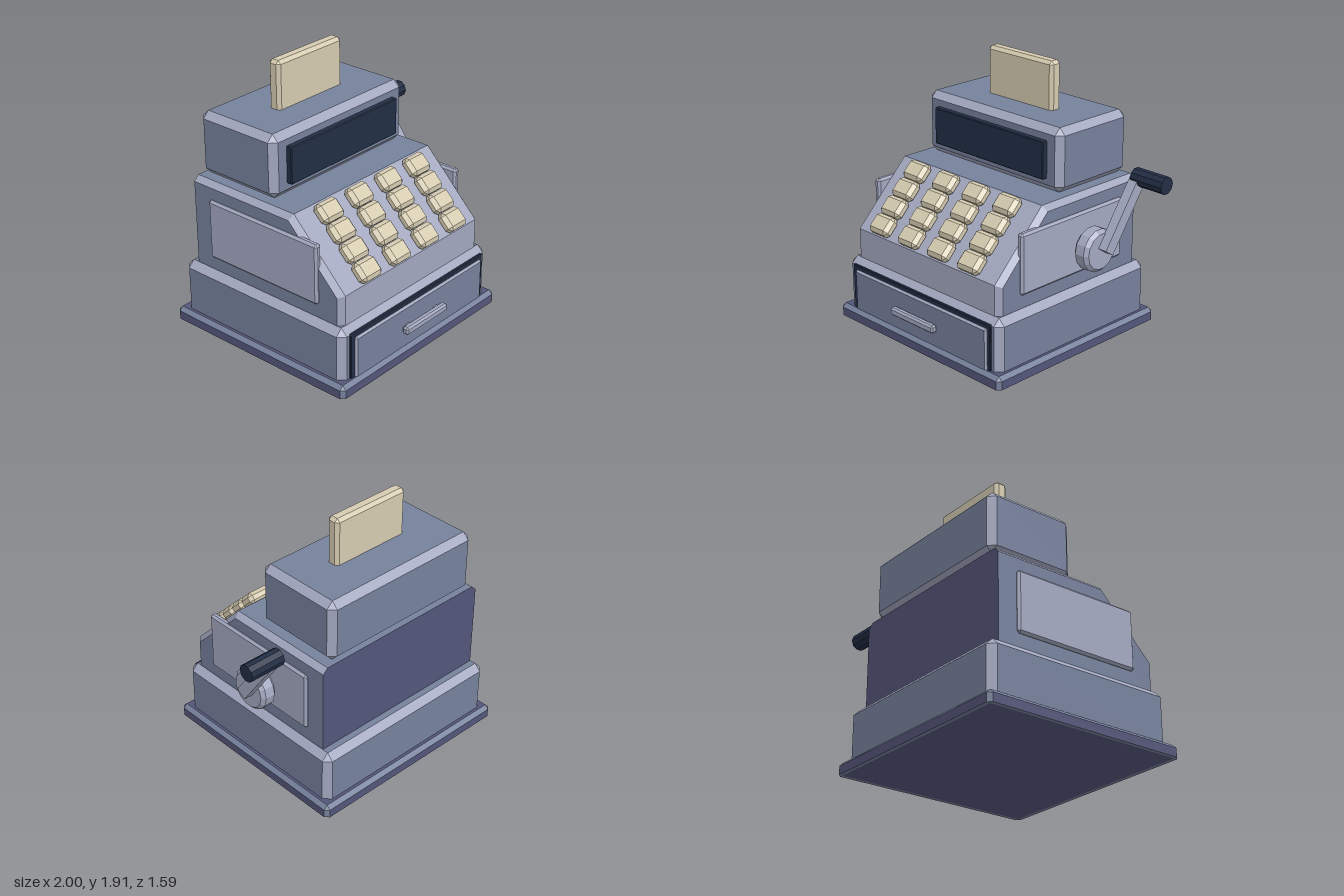
import * as THREE from 'three';

const material = (name, color) => {
  const m = new THREE.MeshStandardMaterial({ color });
  m.name = name;
  return m;
};

// Builds a flat-faced convex solid around the origin; each face is { ring, group }.
function solid(faces, centre = new THREE.Vector3()) {
  const positions = [];
  const geometry = new THREE.BufferGeometry();
  for (const { ring, group } of faces) {
    const pts = ring.map((p) => new THREE.Vector3(...p));
    const normal = pts[1].clone().sub(pts[0]).cross(pts[2].clone().sub(pts[0]));
    if (normal.dot(pts[0].clone().sub(centre)) < 0) pts.reverse();
    const start = positions.length / 3;
    for (let i = 1; i < pts.length - 1; i++) {
      for (const p of [pts[0], pts[i], pts[i + 1]]) positions.push(p.x, p.y, p.z);
    }
    geometry.addGroup(start, positions.length / 3 - start, group);
  }
  geometry.setAttribute('position', new THREE.Float32BufferAttribute(positions, 3));
  geometry.computeVertexNormals();
  return geometry;
}

// Chamfered box: group 0 is the six flat sides, group 1 the chamfers.
function chamferBox(w, h, d, b, bottomChamfer = true) {
  const half = [w / 2, h / 2, d / 2];
  // Corner point lying on the side facing the given axis
  const point = (axis, s) => half.map((v, i) => {
    const inset = i === axis ? 0 : i === 1 && s[1] < 0 && !bottomChamfer ? 0 : b;
    return s[i] * (v - inset);
  });
  const signs = (axis, a, u, v) => {
    const s = [0, 0, 0];
    s[axis] = a;
    s[(axis + 1) % 3] = u;
    s[(axis + 2) % 3] = v;
    return s;
  };
  const faces = [];
  for (let axis = 0; axis < 3; axis++) {
    for (const a of [-1, 1]) {
      faces.push({
        group: 0,
        ring: [[-1, -1], [1, -1], [1, 1], [-1, 1]].map(([u, v]) => point(axis, signs(axis, a, u, v))),
      });
      // Chamfer strip running along the third axis
      const next = (axis + 1) % 3;
      for (const u of [-1, 1]) {
        const s0 = signs(axis, a, u, -1), s1 = signs(axis, a, u, 1);
        faces.push({ group: 1, ring: [point(axis, s0), point(axis, s1), point(next, s1), point(next, s0)] });
      }
    }
  }
  for (const x of [-1, 1]) for (const y of [-1, 1]) for (const z of [-1, 1]) {
    faces.push({ group: 1, ring: [0, 1, 2].map((axis) => point(axis, [x, y, z])) });
  }
  return solid(faces);
}

export function createModel() {
  const model = new THREE.Group();
  model.name = 'cashRegister';

  const blue = material('slateBlue', 0x76819c);
  const light = material('paleLavender', 0xa3a8c0);
  const purple = material('duskPurple', 0x54567a);
  const navy = material('darkNavy', 0x222e45);
  const cream = material('cream', 0xd6ccb1);

  const add = (name, geometry, mat, parent = model) => {
    const mesh = new THREE.Mesh(geometry, mat);
    mesh.name = name;
    parent.add(mesh);
    return mesh;
  };
  // Chamfered box given by its extents on each axis
  const block = (name, [x0, x1], [y0, y1], [z0, z1], bevel, mats, bottomChamfer) => {
    const mesh = add(name, chamferBox(x1 - x0, y1 - y0, z1 - z0, bevel, bottomChamfer), mats);
    mesh.position.set((x0 + x1) / 2, (y0 + y1) / 2, (z0 + z1) / 2);
    return mesh;
  };

  const midX = -0.18;

  // Plinth and drawer cabinet
  block('basePlinth', [-1, 0.64], [0, 0.09], [-0.787, 0.762], 0.028, [purple, blue], false);
  block('drawerCabinet', [-0.952, 0.592], [0.085, 0.462], [-0.737, 0.712], 0.048, [blue, light], false);

  // Drawer
  block('drawerSurround', [-0.88, 0.522], [0.09, 0.42], [0.68, 0.724], 0.005, [navy, navy], false);
  block('drawerFront', [-0.843, 0.497], [0.092, 0.39], [0.69, 0.741], 0.013, [blue, light], false);
  block('drawerHandle', [-0.396, 0.036], [0.21, 0.268], [0.75, 0.8], 0.013, [light, light]);
  for (const x of [-0.33, -0.03]) {
    block('handlePost', [x - 0.02, x + 0.02], [0.222, 0.256], [0.73, 0.76], 0.004, [light, light]);
  }

  // Sloped body: full profile [z, y] in the middle, inset profile at the sides
  const outer = [[0.665, 0.44], [0.665, 0.678], [0.233, 1.114], [-0.642, 1.114], [-0.642, 0.44]];
  const inset = [[0.628, 0.44], [0.628, 0.663], [0.218, 1.077], [-0.642, 1.077], [-0.642, 0.44]];
  const ringGroups = [1, 1, 0, 2, 0]; // front, slope, top, back, underside
  const sideGroups = [1, 1, 1, 2, 0];
  const at = (x, [z, y]) => [x, y, z];
  const bodyFaces = [];
  outer.forEach((p, i) => {
    const j = (i + 1) % outer.length;
    const q = outer[j];
    bodyFaces.push({ group: ringGroups[i], ring: [at(-0.683, p), at(0.683, p), at(0.683, q), at(-0.683, q)] });
    for (const s of [-1, 1]) {
      bodyFaces.push({
        group: sideGroups[i],
        ring: [at(s * 0.683, p), at(s * 0.683, q), at(s * 0.722, inset[j]), at(s * 0.722, inset[i])],
      });
    }
  });
  for (const s of [-1, 1]) bodyFaces.push({ group: 0, ring: inset.map((p) => at(s * 0.722, p)) });
  const body = add('slopedBody', solid(bodyFaces, new THREE.Vector3(0, 0.7, 0)), [blue, light, purple]);
  body.position.x = midX;

  // Side panels
  for (const s of [-1, 1]) {
    const x = midX + s * 0.716;
    block('sidePanel', [x - 0.027, x + 0.027], [0.557, 0.992], [-0.497, 0.473], 0.016, [light, light]);
  }

  // Keys in four columns and four rows up the slope
  const keys = new THREE.Group();
  keys.name = 'keys';
  model.add(keys);
  const keyGeometry = chamferBox(0.192, 0.085, 0.144, 0.026);
  for (let col = 0; col < 4; col++) {
    for (let row = 0; row < 4; row++) {
      const key = add('key', keyGeometry, [cream, cream], keys);
      key.position.set(-0.63 + col * 0.299, 0.762 + row * 0.1045, 0.64 - row * 0.1065);
      key.rotation.x = Math.PI / 4;
    }
  }

  // Display head and receipt
  block('displayHead', [-0.833, 0.47], [1.118, 1.57], [-0.644, 0.033], 0.047, [blue, light]);
  block('displayWindow', [-0.71, 0.352], [1.208, 1.475], [0.0, 0.074], 0.006, [navy, navy]);
  block('receipt', [-0.49, 0.133], [1.5, 1.912], [-0.332, -0.234], 0.023, [cream, cream]);

  // Crank: bevelled hub, arm and grip on the right-hand side
  const crank = new THREE.Group();
  crank.name = 'crank';
  model.add(crank);
  const turned = (name, profile, sides, mat, y, z) => {
    const points = profile.map(([r, h]) => new THREE.Vector2(r, h));
    const geometry = new THREE.LatheGeometry(points, sides).toNonIndexed();
    geometry.computeVertexNormals();
    const mesh = add(name, geometry, mat, crank);
    mesh.rotation.z = -Math.PI / 2;
    mesh.position.set(0, y, z);
  };
  turned('crankAxle', [[0.05, 0.55], [0.05, 0.62]], 12, light, 0.755, -0.115);
  turned('crankHub', [[0, 0.602], [0.128, 0.602], [0.153, 0.627], [0.153, 0.7], [0.128, 0.726], [0, 0.726]],
    14, light, 0.752, -0.112);
  turned('crankGrip', [[0, 0.732], [0.062, 0.732], [0.062, 1], [0, 1]], 10, navy, 1.207, -0.43);

  const lower = new THREE.Vector3(0.756, 0.757, -0.115);
  const upper = new THREE.Vector3(0.756, 1.205, -0.43);
  const along = upper.clone().sub(lower);
  const arm = add('crankArm', new THREE.BoxGeometry(0.072, along.length(), 0.085), light, crank);
  arm.position.copy(lower).add(upper).multiplyScalar(0.5);
  arm.rotation.x = Math.atan2(along.z, along.y);

  return model;
}
